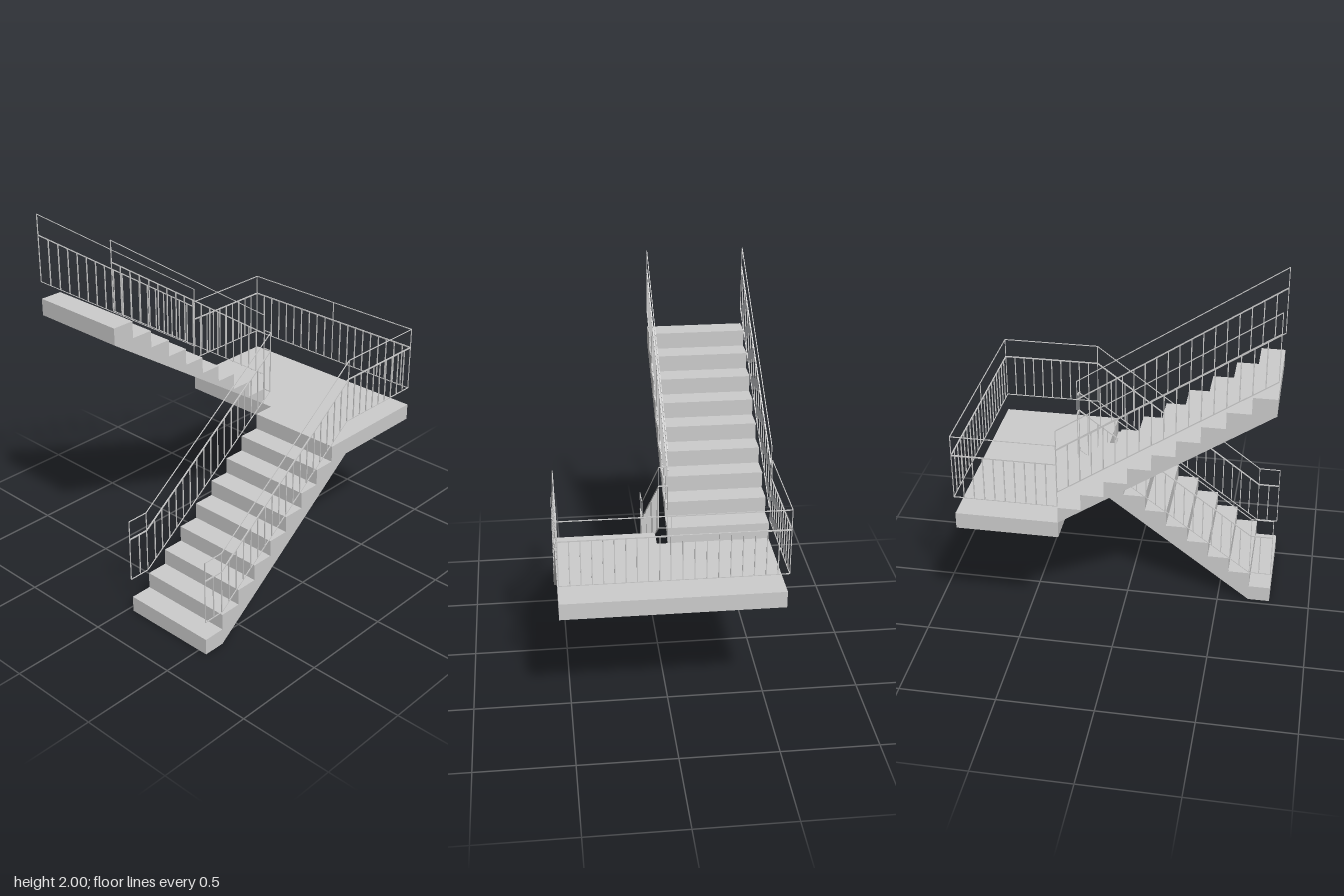
import * as THREE from 'three';
import { mergeGeometries } from 'three/addons/utils/BufferGeometryUtils.js';

const STEPS = 9, RUN = 0.116, RISE = 0.087;
const FRONT = 0.784, MID = -0.26, BACK = -0.784;
const LANDING = STEPS * RISE;
const MID_RAIL = 0.238, TOP_RAIL = 0.343;

const grey = new THREE.MeshStandardMaterial({ color: 0xcccccc });
grey.name = 'light grey';

const V = (x, y, z) => new THREE.Vector3(x, y, z);

// Square bar between two points
function bar(a, b, size) {
  const dir = b.clone().sub(a);
  const g = new THREE.BoxGeometry(size, size, dir.length());
  const m = new THREE.Matrix4().lookAt(b, a, Math.abs(dir.y) > 0.99 * dir.length() ? V(0, 0, 1) : V(0, 1, 0));
  g.applyMatrix4(m);
  return g.translate((a.x + b.x) / 2, (a.y + b.y) / 2, (a.z + b.z) / 2);
}

// Flight of stairs: a (z, y) profile extruded across the width
function flight(name, profile, x0, x1) {
  const shape = new THREE.Shape(profile.map(([z, y]) => new THREE.Vector2(z, y)));
  const g = new THREE.ExtrudeGeometry(shape, { depth: x1 - x0, bevelEnabled: false });
  g.rotateY(-Math.PI / 2).translate(x1, 0, 0);
  const mesh = new THREE.Mesh(g, grey);
  mesh.name = name;
  return mesh;
}

// Railing along a path of lower-rail points: three rails, end posts and balusters
// (shift moves the balusters along by a fraction of their spacing)
function railing(name, points, counts, shift = 0) {
  const parts = [];
  const up = (p, h) => V(p.x, p.y + h, p.z);
  points.forEach((p, i) => {
    parts.push(bar(p, up(p, TOP_RAIL), 0.004));
    if (i === points.length - 1) return;
    const q = points[i + 1];
    parts.push(bar(p, q, 0.004));
    parts.push(bar(up(p, MID_RAIL), up(q, MID_RAIL), 0.006));
    parts.push(bar(up(p, TOP_RAIL), up(q, TOP_RAIL), 0.004));
    for (let k = 1; k < counts[i]; k++) {
      const s = p.clone().lerp(q, (k + shift) / counts[i]);
      parts.push(bar(s, up(s, MID_RAIL), 0.005));
    }
  });
  const mesh = new THREE.Mesh(mergeGeometries(parts), grey);
  mesh.name = name;
  return mesh;
}

export function createModel() {
  const group = new THREE.Group();
  group.name = 'staircase';

  // Lower flight climbs toward the back
  const lower = [[FRONT, 0]];
  for (let i = 0; i < STEPS; i++) {
    lower.push([FRONT - i * RUN, (i + 1) * RISE], [FRONT - (i + 1) * RUN, (i + 1) * RISE]);
  }
  lower.push([MID, LANDING - RISE], [FRONT - RUN, 0]);
  group.add(flight('lowerFlight', lower, 0.03, 0.55));

  // Upper flight climbs toward the front
  const upper = [[MID, LANDING]];
  for (let i = 0; i < STEPS; i++) {
    const y = LANDING + (i + 1) * RISE;
    upper.push([MID + i * RUN, y], [MID + (i + 1) * RUN, y]);
  }
  upper.push([FRONT, LANDING + (STEPS - 1) * RISE]);
  group.add(flight('upperFlight', upper, -0.545, -0.024));

  // Landing slab
  const slab = new THREE.Mesh(new THREE.BoxGeometry(1.095, RISE, MID - BACK), grey);
  slab.position.set(0.0025, LANDING - RISE / 2, (MID + BACK) / 2);
  slab.name = 'landing';
  group.add(slab);

  // Outer railing: lower flight, then around three sides of the landing
  const y0 = 0.188, y1 = 0.883;
  const front = FRONT - 0.002, back = BACK + 0.002;
  group.add(railing('outerRailing', [
    V(0.546, y0, front), V(0.546, y0, FRONT - RUN), V(0.546, y1, MID),
    V(0.546, y1, back), V(0.018, y1, back),
    V(-0.549, y1, back), V(-0.549, y1, MID),
  ], [2, 18, 10, 10, 10, 10]));

  // Inner railing of the lower flight, turning across the stairwell gap
  group.add(railing('innerLowerRailing', [
    V(0.021, y0, front), V(0.021, y0, FRONT - RUN - 0.002),
    V(0.021, y1 - 0.01, MID), V(-0.024, y1 - 0.01, MID),
  ], [2, 18, 1], 0.1));

  // Railings on both sides of the upper flight
  for (const [name, x, shift] of [['innerUpperRailing', -0.024, 0.1], ['outerUpperRailing', -0.543, 0]]) {
    group.add(railing(name, [V(x, 0.96, MID), V(x, 1.655, front)], [18], shift));
  }
  return group;
}
